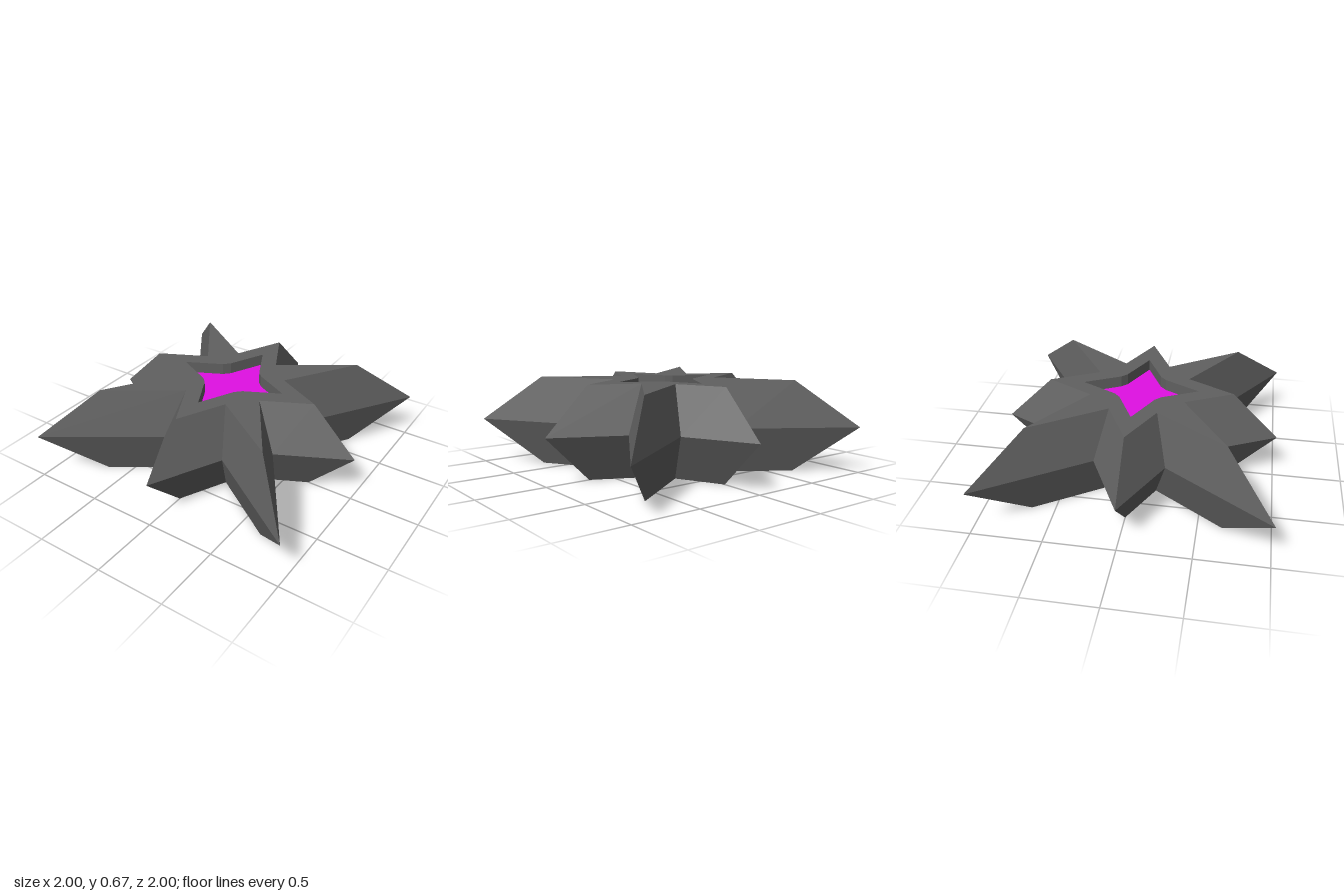
import * as THREE from 'three';

const HALF = 1 / 3;        // half thickness
const FLOOR = HALF - 1 / 12; // recess floor height above the mid plane

// Repeat one quadrant of points around the centre, counter-clockwise
function ring(quadrant, scale = 1) {
  const points = [];
  for (let k = 0; k < 4; k++) {
    for (const [x, y] of quadrant) {
      let p = [x * scale, y * scale];
      for (let r = 0; r < k; r++) p = [-p[1], p[0]];
      points.push(new THREE.Vector2(p[0], p[1]));
    }
  }
  return points;
}

// Flat-faced band joining two rings at heights za and zb
function band(a, za, b, zb) {
  const pos = [];
  a.forEach((p, i) => {
    const j = (i + 1) % a.length;
    const q = a[j], r = b[j], s = b[i];
    pos.push(p.x, p.y, za, q.x, q.y, za, r.x, r.y, zb);
    pos.push(p.x, p.y, za, r.x, r.y, zb, s.x, s.y, zb);
  });
  const g = new THREE.BufferGeometry();
  g.setAttribute('position', new THREE.Float32BufferAttribute(pos, 3));
  g.computeVertexNormals();
  return g;
}

export function createModel() {
  const metal = new THREE.MeshStandardMaterial({ color: 0x606060 });
  metal.name = 'dark grey';
  const glow = new THREE.MeshStandardMaterial({ color: 0xe010e3 });
  glow.name = 'magenta';

  const starQuadrant = [[1, 0], [0.5, 0.25], [1, 1], [0.25, 0.5]];
  const rim = ring(starQuadrant);
  const face = ring(starQuadrant, 2 / 3);
  const recess = ring([[5 / 12, 0], [1 / 6, 1 / 8], [1 / 8, 1 / 6]]);

  // Star face with the recess cut out
  const faceShape = new THREE.Shape(face);
  faceShape.holes.push(new THREE.Path(recess));
  const faceGeo = new THREE.ShapeGeometry(faceShape).translate(0, 0, HALF);
  const floorGeo = new THREE.ShapeGeometry(new THREE.Shape(recess)).translate(0, 0, FLOOR);

  const parts = [
    ['bevelledPoints', band(rim, 0, face, HALF), metal],
    ['starFace', faceGeo, metal],
    ['recessWall', band(recess, HALF, recess, FLOOR), metal],
    ['coreInlay', floorGeo, glow],
  ];

  // Two mirrored halves meet at the sharp rim
  const model = new THREE.Group();
  model.name = 'spikedStar';
  for (const [name, turn] of [['upperHalf', -1], ['lowerHalf', 1]]) {
    const half = new THREE.Group();
    half.name = name;
    for (const [partName, geo, mat] of parts) {
      const mesh = new THREE.Mesh(geo, mat);
      mesh.name = partName;
      half.add(mesh);
    }
    half.rotation.x = turn * Math.PI / 2;
    half.position.y = HALF;
    model.add(half);
  }
  return model;
}
